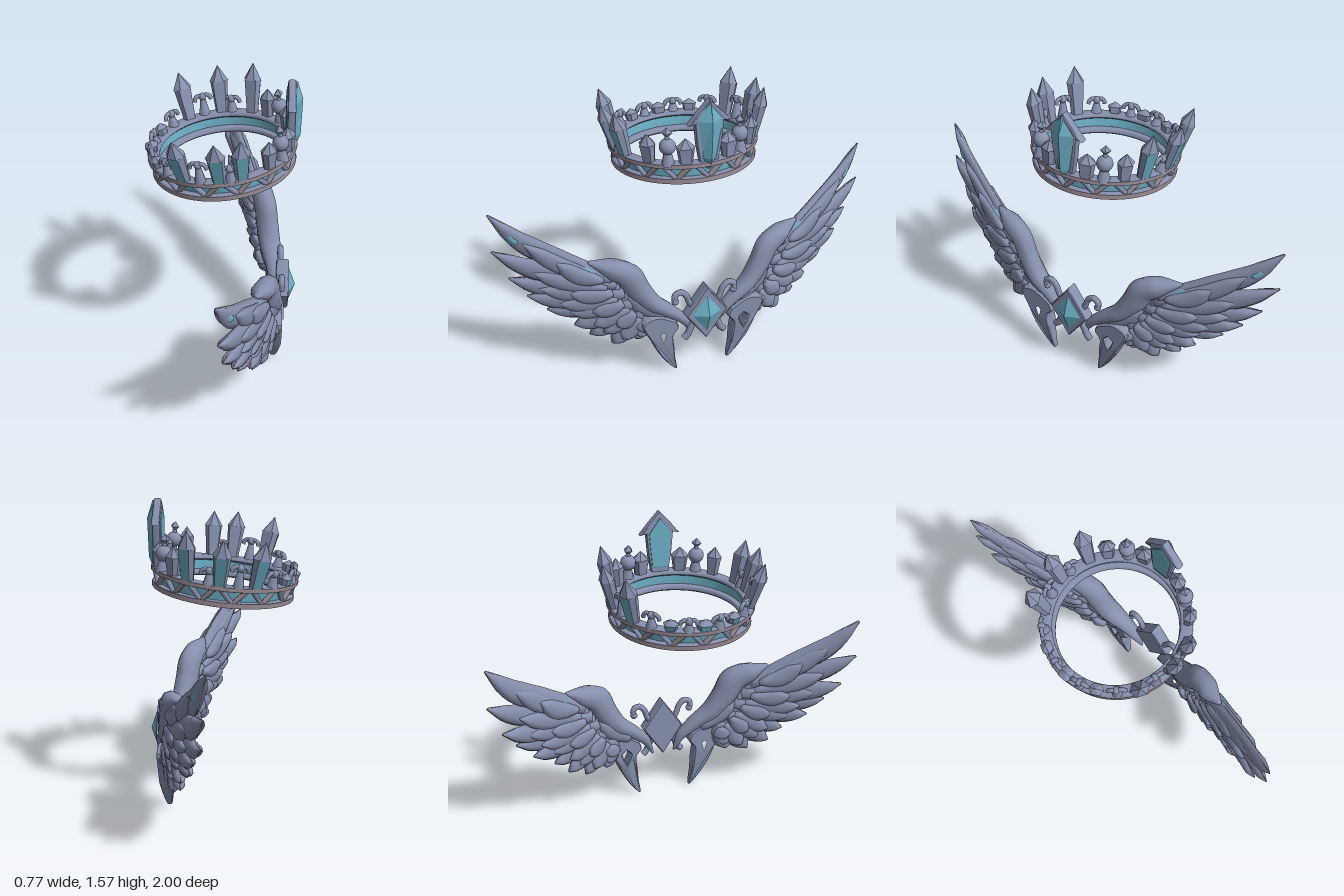
import * as THREE from 'three';

const V = (x, y, z) => new THREE.Vector3(x, y, z);
const rad = THREE.MathUtils.degToRad;

export function createModel() {
  const mat = (name, color, side = THREE.FrontSide) => {
    const m = new THREE.MeshStandardMaterial({ color, side });
    m.name = name;
    return m;
  };
  const steel = mat('blue grey metal', 0x8790ae);
  const teal = mat('teal crystal', 0x6aaec4, THREE.DoubleSide);
  const rose = mat('rosy trim', 0x988a93);

  const root = new THREE.Group();
  root.name = 'crownAndWings';
  const add = (parent, name, geo, m) => {
    const mesh = new THREE.Mesh(geo, m);
    mesh.name = name;
    parent.add(mesh);
    return mesh;
  };
  const facet = g => {
    const f = g.index ? g.toNonIndexed() : g;
    f.computeVertexNormals();
    return f;
  };

  // Closed skin over equal-sized rings of points, always facing outwards
  function loft(rings) {
    const n = rings[0].length, pts = rings.flat(), idx = [];
    for (let i = 0; i < rings.length - 1; i++)
      for (let k = 0; k < n; k++) {
        const a = i * n + k, b = i * n + (k + 1) % n;
        idx.push(a, b, a + n, b, b + n, a + n);
      }
    const last = (rings.length - 1) * n;
    for (let k = 1; k < n - 1; k++) idx.push(0, k + 1, k, last, last + k, last + k + 1);
    let volume = 0;
    for (let i = 0; i < idx.length; i += 3)
      volume += pts[idx[i]].dot(V().crossVectors(pts[idx[i + 1]], pts[idx[i + 2]]));
    if (volume < 0) idx.reverse();
    const g = new THREE.BufferGeometry().setFromPoints(pts);
    g.setIndex(idx);
    g.computeVertexNormals();
    return g;
  }

  // Sweep of the wing: x falls away towards the tip
  const sheet = u => 0.275 - 0.29 * Math.pow(Math.max(u, 0), 1.6);

  // Lens-section blade along [u, y] points; widths run evenly along it
  function blade(s, pts, widths, thick, off = 0, steps = 14) {
    const curve = new THREE.CatmullRomCurve3(pts.map(([u, y]) => V(0, y, u)));
    const rings = [];
    for (let i = 0; i <= steps; i++) {
      const t = i / steps, p = curve.getPoint(t), d = curve.getTangent(t);
      const f = t * (widths.length - 1), j = Math.min(Math.floor(f), widths.length - 2);
      const w = THREE.MathUtils.lerp(widths[j], widths[j + 1], f - j);
      const h = Math.min(thick, w * 1.2);
      rings.push(Array.from({ length: 10 }, (_, k) => {
        const a = k / 10 * Math.PI * 2, c = Math.cos(a) * w;
        const u = p.z + d.y * c;
        return V(sheet(u) + off + Math.sin(a) * h, p.y - d.z * c, s * u);
      }));
    }
    return loft(rings);
  }

  // Flat bevelled plate drawn in the z-y plane, centred on x
  function plate(s, pts, depth, x, hole, smooth) {
    const to = a => a.map(([u, y]) => new THREE.Vector2(s * u, y));
    const shape = new THREE.Shape(smooth
      ? new THREE.SplineCurve(to([...pts, pts[0]])).getPoints(40).slice(0, -1) : to(pts));
    if (hole) shape.holes.push(new THREE.Path(to(hole)));
    const g = new THREE.ExtrudeGeometry(shape, {
      depth: depth * 0.5, bevelThickness: depth * 0.25, bevelSize: 0.007, bevelOffset: -0.007, bevelSegments: 2
    });
    return g.translate(0, 0, -depth * 0.25).rotateY(-Math.PI / 2).translate(x, 0, 0);
  }

  // ---------- Wings ----------
  const tips = [[0.995, 0.967], [0.995, 0.765], [0.925, 0.605], [0.85, 0.51], [0.76, 0.42],
    [0.64, 0.33], [0.565, 0.26], [0.46, 0.205], [0.34, 0.215]];
  for (const s of [1, -1]) {
    const wing = new THREE.Group();
    wing.name = s > 0 ? 'frontWing' : 'backWing';
    root.add(wing);

    // Long flight feathers with a thin rosy rim, then covert rows on both faces
    tips.forEach(([tu, ty], i) => {
      const f = i / 8, ru = 0.46 - 0.16 * f, ry = 0.6 - 0.22 * f;
      const at = (t, sag) => [ru + (tu - ru) * t, ry + (ty - ry) * t - sag];
      const sag = i === 0 ? 0.05 : 0.035 * (1 - f);
      const line = [at(0, 0), at(0.4, sag * 0.8), at(0.75, sag), at(1, 0)], lift = (i % 2) * 0.012 - 0.006;
      const widths = [0.03, 0.052, 0.06, 0.056, 0.036, 0.003];
      add(wing, 'flightFeather', blade(s, line, widths, 0.028, lift), steel);
      add(wing, 'featherRim', blade(s, line, widths.map(w => w + 0.003), 0.004, lift), rose);
      for (const side of [1, -1]) {
        for (const [len, w, off] of i % 2 ? [[0.7, 0.05, 0.024]] : [[0.74, 0.05, 0.02], [0.48, 0.05, 0.036]]) {
          const drop = 0.012 + 0.01 * (i % 2);
          add(wing, 'covertFeather', blade(s, [at(0.08, drop), at(len * 0.6, drop + sag), at(len, drop + sag * 0.7)],
            [0.015, w * 0.8, w, w * 0.85, 0.004], 0.024, side * off, 9), steel);
        }
      }
    });

    // Crystal-tinted shoulder feather set in a metal one, and a tinted wing tip
    add(wing, 'shoulderFeather', blade(s, [[0.46, 0.61], [0.6, 0.65], [0.705, 0.735]], [0.03, 0.055, 0.05, 0.004], 0.036), steel);
    add(wing, 'tealFeather', blade(s, [[0.52, 0.635], [0.61, 0.66], [0.692, 0.718]], [0.025, 0.042, 0.04, 0.006], 0.056), teal);
    add(wing, 'tealTipInlay', blade(s, [[0.86, 0.805], [0.9, 0.845], [0.935, 0.89]], [0.004, 0.024, 0.02, 0.003], 0.032), teal);

    // Smooth arm along the leading edge
    add(wing, 'wingArm', blade(s, [[0.06, 0.225], [0.1, 0.31], [0.17, 0.375], [0.265, 0.445], [0.335, 0.54], [0.378, 0.62], [0.45, 0.66], [0.56, 0.705]],
      [0.006, 0.026, 0.036, 0.05, 0.064, 0.07, 0.058, 0.008], 0.058, 0.005, 32), steel);
    add(wing, 'armLowerLobe', blade(s, [[0.2, 0.36], [0.29, 0.42], [0.38, 0.5]], [0.03, 0.05, 0.06, 0.02], 0.045), steel);

    // Hooked talon with a keyhole
    const talon = plate(s, [[0.15, 0.33], [0.25, 0.38], [0.33, 0.345], [0.288, 0.24], [0.243, 0.14], [0.19, 0.055], [0.14, 0.004],
      [0.152, 0.09], [0.16, 0.17], [0.165, 0.24], [0.135, 0.285]], 0.075, 0,
    [[0.222, 0.285], [0.245, 0.265], [0.233, 0.225], [0.22, 0.2], [0.207, 0.23], [0.2, 0.265]], true);
    const p = talon.attributes.position;
    for (let i = 0; i < p.count; i++)
      p.setX(i, 0.265 + p.getX(i) * THREE.MathUtils.clamp(0.35 + p.getY(i) * 4, 0.35, 1));
    talon.computeVertexNormals();
    add(wing, 'talon', talon, steel);

    // Curled horns beside the gem
    const curl = (pts, r, name) => add(root, name, new THREE.TubeGeometry(
      new THREE.CatmullRomCurve3(pts.map(([u, y]) => V(0.3, y, s * u))), 20, r, 8), steel);
    curl([[0.03, 0.37], [0.08, 0.43], [0.1, 0.48], [0.13, 0.505], [0.16, 0.49], [0.16, 0.455]], 0.016, 'upperHorn');
    curl([[0.03, 0.34], [0.07, 0.28], [0.09, 0.235], [0.11, 0.215]], 0.018, 'lowerHorn');
    const knob = add(root, 'hornKnob', new THREE.SphereGeometry(0.019, 10, 8), steel);
    knob.position.set(0.3, 0.455, s * 0.157);
  }

  // ---------- Central gem ----------
  add(root, 'gemSetting', plate(1, [[0, 0.53], [0.112, 0.37], [0, 0.21], [-0.112, 0.37]], 0.065, 0.307), steel);
  const gem = new THREE.ConeGeometry(1, 0.052, 4).rotateZ(-Math.PI / 2).scale(1, 0.155, 0.108);
  add(root, 'gem', facet(gem), teal).position.set(0.35, 0.37, 0);

  // ---------- Crown ----------
  const crown = new THREE.Group();
  crown.name = 'crown';
  crown.position.set(0.003, 1.11, 0);
  crown.rotation.z = 0.11;
  root.add(crown);

  // Metal rings with a thin rosy strip around the outside
  const ring = (name, r0, r1, y0, y1) => {
    const c = 0.008;
    const prof = [[r0, y0 + c], [r0 + c, y0], [r1 - c, y0], [r1, y0 + c], [r1, y1 - c], [r1 - c, y1], [r0 + c, y1], [r0, y1 - c], [r0, y0 + c]];
    add(crown, name, new THREE.LatheGeometry(prof.map(q => new THREE.Vector2(...q)), 64), steel);
    const h = y1 - y0 - 0.006;
    add(crown, name + 'Strip', new THREE.CylinderGeometry(r1 + 0.002, r1 + 0.002, h, 64, 1, true), rose).position.y = (y0 + y1) / 2;
  };
  ring('bottomRing', 0.3, 0.355, 0, 0.03);
  ring('topRing', 0.308, 0.368, 0.082, 0.108);
  add(crown, 'crystalBand', new THREE.CylinderGeometry(0.336, 0.326, 0.08, 64, 1, true), teal).position.y = 0.055;

  // Zigzag lattice between the rings
  const N = 28;
  for (let i = 0; i < N; i++) {
    const at = (k, y, r) => V(Math.cos(k / N * 2 * Math.PI) * r, y, Math.sin(k / N * 2 * Math.PI) * r);
    const lo = at(i + (i % 2 ? 1 : 0), 0.02, 0.338), hi = at(i + (i % 2 ? 0.15 : 0.85), 0.094, 0.352);
    add(crown, 'latticeStrut', new THREE.TubeGeometry(new THREE.LineCurve3(lo, hi), 1, 0.013, 6), i % 2 ? rose : steel);
  }

  // Holder on the rim whose local +x points outwards
  const onRim = (name, deg, r, y, lean = 0) => {
    const g = new THREE.Group();
    g.name = name;
    g.position.set(Math.cos(rad(deg)) * r, y, Math.sin(rad(deg)) * r);
    g.rotation.y = -rad(deg);
    crown.add(g);
    const inner = new THREE.Group();
    inner.rotation.z = -lean;
    g.add(inner);
    return inner;
  };

  // Six-sided spear: teal outer face, metal sides, back and tip
  function crystal(deg, top, w, lean, inlaid) {
    const g = onRim('crystalSpike', deg, 0.34, 0.09, lean), h = (top - 0.09), tip = h * 0.32;
    const body = new THREE.CylinderGeometry(w, w * 0.68, h - tip, 6, 1, true);
    // Broaden the outer and inner faces
    const p = body.attributes.position;
    for (let i = 0; i < p.count; i++)
      if (Math.abs(p.getX(i)) > 0.01) p.setZ(i, p.getZ(i) * 1.4);
    body.clearGroups();
    for (let k = 0; k < 6; k++) body.addGroup(k * 6, 6, inlaid && k === 1 ? 1 : 0);
    add(g, 'spikeBody', facet(body.scale(0.8, 1, 1)), [steel, teal]).position.y = (h - tip) / 2;
    add(g, 'spikeTip', facet(new THREE.ConeGeometry(w * 1.1, tip, 6).scale(0.8, 1, 1)), steel).position.y = h - tip / 2;
  }

  // Small stem with a drooping two-lobed cap
  function finial(deg, top) {
    const g = onRim('finial', deg, 0.342, 0.1, 0.1), h = top - 0.1;
    add(g, 'stem', new THREE.CylinderGeometry(0.011, 0.03, h, 8), steel).position.y = h / 2;
    add(g, 'cap', new THREE.SphereGeometry(0.02, 10, 8), steel).position.y = h;
    for (const s of [1, -1]) {
      const c = new THREE.CatmullRomCurve3([V(0, h, 0), V(0, h + 0.008, s * 0.02), V(0, h - 0.004, s * 0.038), V(0, h - 0.02, s * 0.042)]);
      add(g, 'lobe', new THREE.TubeGeometry(c, 8, 0.011, 7), steel);
    }
  }

  crystal(73, 0.335, 0.044, 0.24, true);
  crystal(-64, 0.36, 0.044, 0.24, true);
  for (const s of [1, -1]) {
    crystal(s * 91, 0.345, 0.044, 0.26, true);
    crystal(s * 120, 0.35, 0.046, 0.26, true);
    crystal(s * 48, 0.25, 0.04, 0.12, false);
    crystal(s * 18, 0.23, 0.044, 0.04, false);
    crystal(s * 153, 0.165, 0.036, 0.15, true);
    for (const [d, t] of [[82, 0.17], [106, 0.2], [137, 0.17], [167, 0.155]]) finial(s * d, t);

    // Orb with a small star on top
    const orb = onRim('orbFinial', s * 32, 0.345, 0.1);
    add(orb, 'orbStem', new THREE.CylinderGeometry(0.018, 0.034, 0.07, 10), steel).position.y = 0.03;
    add(orb, 'orb', new THREE.SphereGeometry(0.04, 16, 12), steel).position.y = 0.09;
    add(orb, 'orbNeck', new THREE.CylinderGeometry(0.009, 0.013, 0.03, 8), steel).position.y = 0.135;
    add(orb, 'orbStar', facet(new THREE.OctahedronGeometry(0.027)), steel).position.y = 0.158;
  }
  crystal(180, 0.16, 0.042, 0.1, true);

  // Great crystal: arrow-shaped backing, ridged teal face and a teal pane behind
  const great = onRim('greatCrystal', 0, 0.325, 0, 0.11);
  add(great, 'greatBacking', plate(1, [[0, 0.425], [0.06, 0.36], [0.105, 0.305], [0.072, 0.31], [0.062, 0.2], [0.045, 0.1],
    [-0.045, 0.1], [-0.062, 0.2], [-0.072, 0.31], [-0.105, 0.305], [-0.06, 0.36]], 0.04, 0), steel);
  const rows = [[0.07, 0.012, 0.012], [0.13, 0.036, 0.042], [0.325, 0.042, 0.074], [0.415, 0.014, 0.006]];
  add(great, 'greatFace', facet(loft(rows.map(([y, d, w]) =>
    [V(0.012 + d, y, 0), V(0.012, y, w), V(0.004, y, 0), V(0.012, y, -w)]))), teal);
  add(great, 'greatRearPane', plate(1, [[0, 0.39], [0.058, 0.31], [0.042, 0.13], [-0.042, 0.13], [-0.058, 0.31]], 0.008, -0.022), teal);

  return root;
}
